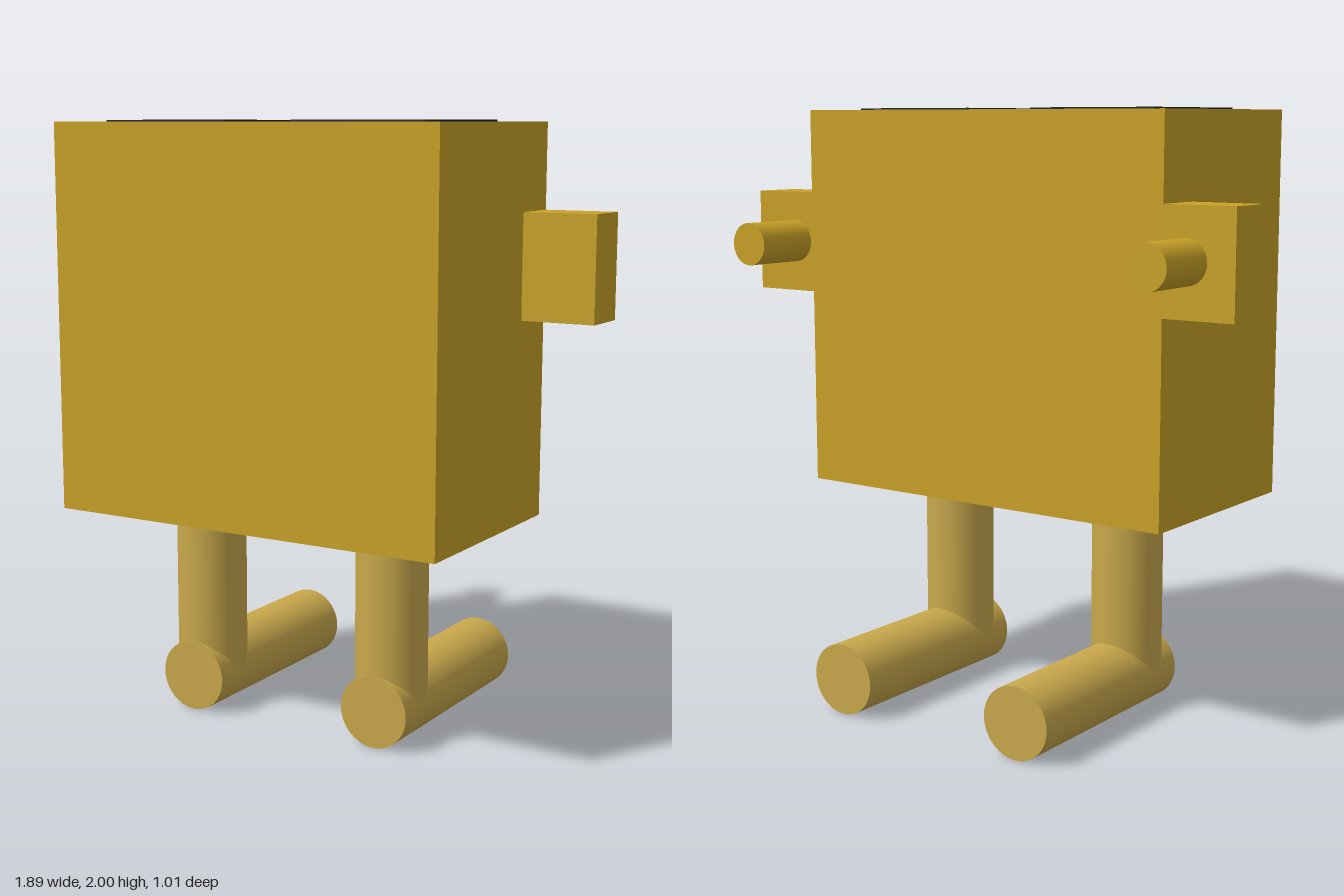
import * as THREE from 'three';

export function createModel() {
  const group = new THREE.Group();
  const material = (name, color) => {
    const m = new THREE.MeshStandardMaterial({ color });
    m.name = name;
    return m;
  };
  const gold = material('gold', 0xc9a227);
  const tan = material('tan', 0xc9a84c);
  const dark = material('dark navy', 0x22222e);

  const add = (name, geometry, mat, x, y, z) => {
    const mesh = new THREE.Mesh(geometry, mat);
    mesh.name = name;
    mesh.position.set(x, y, z);
    group.add(mesh);
  };
  // Cylinder lying along z
  const rod = (radius, length) =>
    new THREE.CylinderGeometry(radius, radius, length, 48).rotateX(Math.PI / 2);

  // Main block
  add('body', new THREE.BoxGeometry(1.4, 1.277, 0.74), gold, 0, 1.3555, 0.135);

  for (const [side, s] of [['left', 1], ['right', -1]]) {
    // Dark panel on the top face
    add(side + 'TopPanel', new THREE.BoxGeometry(0.46, 0.008, 0.485), dark, s * 0.355, 1.996, 0.137);

    // Side block with a peg pointing backwards
    add(side + 'SideBlock', new THREE.BoxGeometry(0.245, 0.34, 0.17), gold, s * 0.8225, 1.547, -0.15);
    add(side + 'Peg', rod(0.071, 0.23), gold, s * 0.78, 1.549, -0.348);

    // Upright leg meeting a foot that runs backwards
    add(side + 'Leg', new THREE.CylinderGeometry(0.119, 0.119, 0.6, 48), tan, s * 0.355, 0.42, 0.137);
    add(side + 'Foot', rod(0.12, 0.763), tan, s * 0.355, 0.12, -0.1235);
  }
  return group;
}
